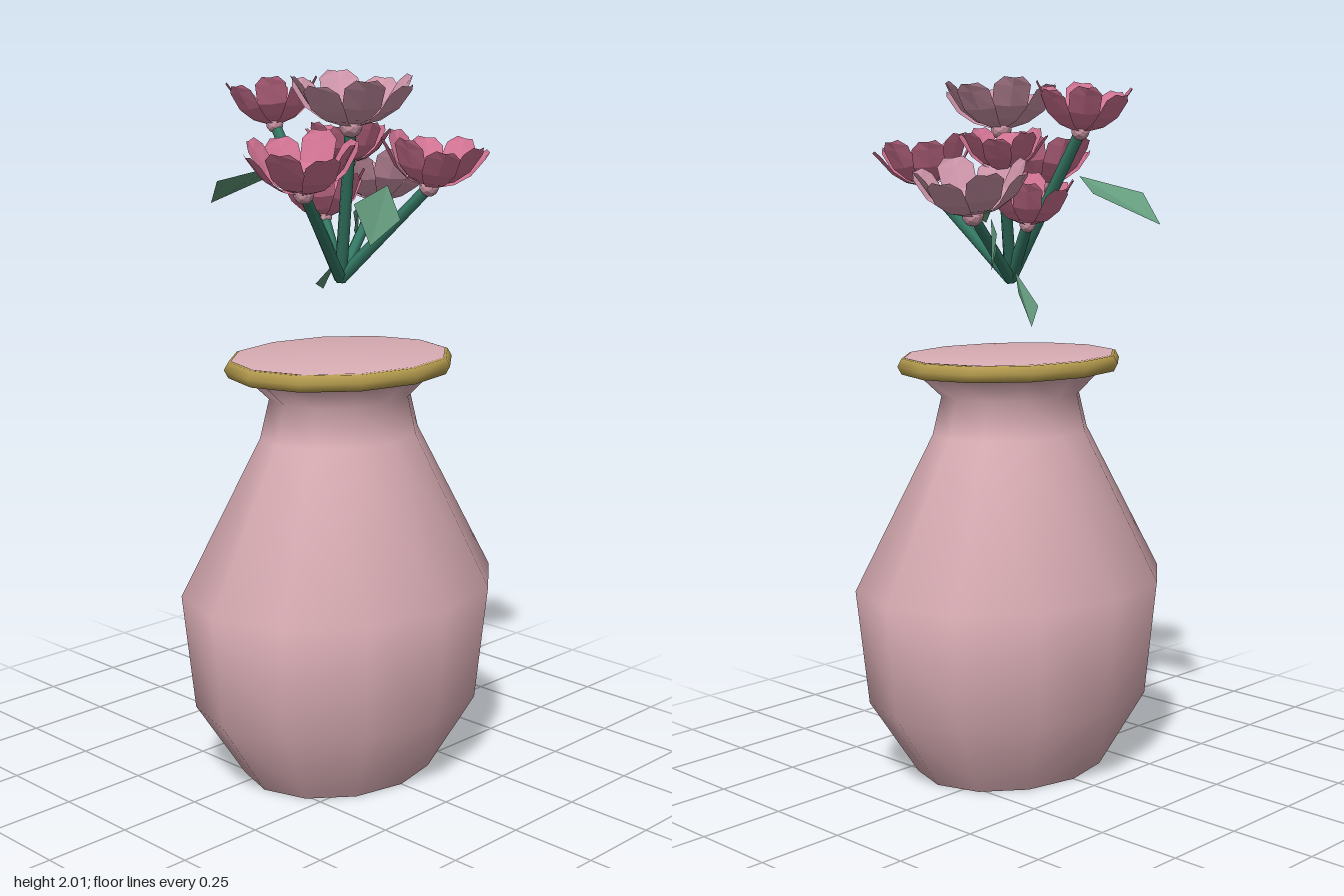
import * as THREE from 'three';

const flat = { flatShading: true };
const both = { flatShading: true, side: THREE.DoubleSide };
const make = (name, color, opts = {}) => {
  const m = new THREE.MeshStandardMaterial({ color, ...opts });
  m.name = name;
  return m;
};

export function createModel() {
  const model = new THREE.Group();
  const mats = {
    vase: make('dusty pink glaze', 0xd9adb4),
    gold: make('gold trim', 0xb39a4d),
    pink: make('pink petal', 0xd57596, both),
    pale: make('pale petal', 0xd197ac, both),
    seed: make('flower centre pink', 0xcf98a8, flat),
    stem: make('stem green', 0x357a66),
    leaf: make('leaf green', 0x669f80, both),
  };
  const add = (parent, name, geo, mat) => {
    const mesh = new THREE.Mesh(geo, mat);
    mesh.name = name;
    parent.add(mesh);
    return mesh;
  };

  // Oval vase with flared, closed neck
  const vase = new THREE.Group();
  vase.name = 'vase';
  vase.position.x = 0.08;
  vase.scale.x = 0.82;
  model.add(vase);
  const profile = [
    [0.305, 0], [0.457, 0.225], [0.496, 0.56], [0.25, 1.0],
    [0.222, 1.11], [0.3, 1.18], [0.337, 1.225], [0, 1.225],
  ].map(([r, y]) => new THREE.Vector2(r, y));
  add(vase, 'vaseBody', new THREE.LatheGeometry(profile, 12), mats.vase);
  const base = new THREE.CircleGeometry(0.305, 12).rotateX(Math.PI / 2);
  add(vase, 'vaseBase', base, mats.vase);

  // Gold band around the lip
  const band = new THREE.TorusGeometry(0.332, 0.026, 6, 12).rotateX(Math.PI / 2);
  add(vase, 'rimBand', band, mats.gold).position.y = 1.2;

  // One cupped petal: rows of [radius, half width, height], unit sized, along +z
  const rows = [[0.1, 0.07, 0], [0.42, 0.2, 0.14], [0.68, 0.3, 0.4], [0.9, 0.31, 0.82], [1, 0.16, 1]];
  function petalGeometry() {
    const pos = [], index = [];
    rows.forEach(([r, w, h], i) => {
      pos.push(-w, h + 0.05 * i * w, r * 0.97, 0, h, r, w, h + 0.05 * i * w, r * 0.97);
      if (i === 0) return;
      const a = (i - 1) * 3, b = i * 3;
      for (let k = 0; k < 2; k++) {
        index.push(a + k, b + k, a + k + 1, a + k + 1, b + k, b + k + 1);
      }
    });
    const g = new THREE.BufferGeometry();
    g.setAttribute('position', new THREE.Float32BufferAttribute(pos, 3));
    g.setIndex(index);
    g.computeVertexNormals();
    return g;
  }
  const petal = petalGeometry();

  // Flowers: base x, y, z, radius, cup height, petal colour
  const root = new THREE.Vector3(0.08, 1.44, 0);
  const up = new THREE.Vector3(0, 1, 0);
  const flowers = [
    [-0.205, 1.855, -0.02, 0.14, 0.115, 'pink'],
    [-0.05, 1.63, -0.28, 0.167, 0.125, 'pale'],
    [-0.015, 1.75, -0.125, 0.125, 0.1, 'pink'],
    [0.335, 1.705, -0.08, 0.15, 0.12, 'pink'],
    [0.25, 1.705, 0.31, 0.155, 0.125, 'pink'],
    [-0.035, 1.6, -0.05, 0.13, 0.12, 'pink'],
    [0.205, 1.868, 0.09, 0.175, 0.122, 'pale'],
  ];
  flowers.forEach(([x, y, z, R, H, color], n) => {
    const top = new THREE.Vector3(x, y, z);
    const dir = top.clone().sub(root);
    const length = dir.length();
    dir.normalize();

    const stem = add(model, 'stem', new THREE.CylinderGeometry(0.016, 0.018, length, 6), mats.stem);
    stem.position.copy(root).add(top).multiplyScalar(0.5);
    stem.quaternion.setFromUnitVectors(up, dir);

    // Bloom leans a little along its stem
    const bloom = new THREE.Group();
    bloom.name = 'flower';
    bloom.position.copy(top);
    bloom.quaternion.setFromUnitVectors(up, up.clone().lerp(dir, 0.2).normalize());
    model.add(bloom);
    for (let i = 0; i < 8; i++) {
      const inner = i % 2;
      const p = add(bloom, 'petal', petal, mats[color]);
      p.rotation.y = (i / 8) * Math.PI * 2 + n * 0.3;
      p.scale.set(R, H * (inner ? 1.03 : 0.93), R * (inner ? 0.94 : 1));
      p.position.y = inner ? 0.004 : 0;
    }
    // Calyx below and a ring of stamens above
    add(bloom, 'calyx', new THREE.IcosahedronGeometry(R * 0.18, 1), mats.seed);
    add(bloom, 'flowerCentre', new THREE.IcosahedronGeometry(R * 0.15, 0), mats.seed).position.y = R * 0.25;
    for (let i = 0; i < 6; i++) {
      const a = (i / 6) * Math.PI * 2;
      const s = add(bloom, 'stamen', new THREE.OctahedronGeometry(R * 0.1), mats.seed);
      s.position.set(Math.sin(a) * R * 0.16, R * 0.24, Math.cos(a) * R * 0.16);
    }
  });

  // Kite-shaped leaves: base, side, tip, side
  const leaves = [
    [[-0.21, 1.735, -0.03], [-0.345, 1.69, 0.08], [-0.497, 1.61, -0.03], [-0.345, 1.69, -0.125]],
    [[0.34, 1.72, 0.09], [0.39, 1.685, 0.27], [0.455, 1.585, 0.277], [0.405, 1.635, 0.11]],
    [[-0.035, 1.47, -0.1], [-0.17, 1.385, -0.15], [-0.278, 1.345, -0.29], [-0.225, 1.43, -0.285]],
    [[-0.05, 1.62, -0.21], [-0.11, 1.54, -0.25], [-0.22, 1.495, -0.38], [-0.18, 1.585, -0.32]],
  ];
  leaves.forEach((corners) => {
    const g = new THREE.BufferGeometry();
    g.setAttribute('position', new THREE.Float32BufferAttribute(corners.flat(), 3));
    g.setIndex([0, 1, 2, 0, 2, 3]);
    g.computeVertexNormals();
    // Keep the upper side as the front
    if (g.attributes.normal.getY(0) < 0) {
      g.setIndex([0, 2, 1, 0, 3, 2]);
      g.computeVertexNormals();
    }
    add(model, 'leaf', g, mats.leaf);
  });

  return model;
}
